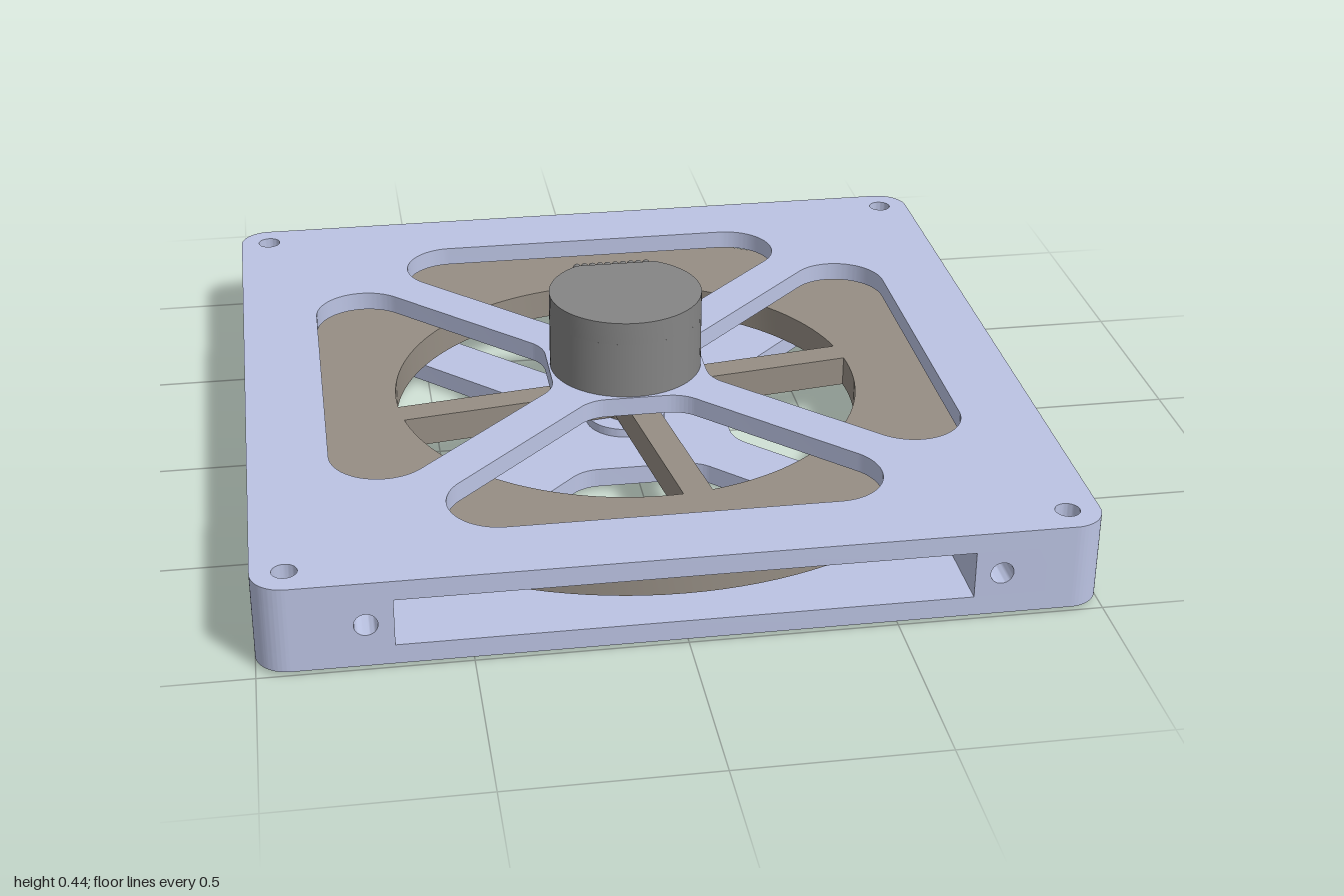
import * as THREE from 'three';
import { toCreasedNormals } from 'three/addons/utils/BufferGeometryUtils.js';

const paint = (color) => new THREE.MeshStandardMaterial({ color });
const housingMat = paint(0xbcc4e4);
const wheelMat = paint(0x968e84);
const motorMat = paint(0x858585);
const darkMat = paint(0x5c5c60);

const PLATE = 0.05, SLOT_LOW = 0.06, SLOT_HIGH = 0.18, BASE = 0.01;

function add(parent, name, geometry, material) {
  const mesh = new THREE.Mesh(geometry, material);
  mesh.name = name;
  parent.add(mesh);
  return mesh;
}

// Outline with filleted corners; corners are [x, y, radius] in counter-clockwise order
function roundedPolygon(corners, Type = THREE.Shape) {
  const path = new Type();
  const n = corners.length;
  corners.forEach(([x, y, r], i) => {
    const p = new THREE.Vector2(x, y);
    const a = new THREE.Vector2(...corners[(i + n - 1) % n].slice(0, 2)).sub(p).normalize();
    const b = new THREE.Vector2(...corners[(i + 1) % n].slice(0, 2)).sub(p).normalize();
    const half = Math.acos(a.dot(b)) / 2;
    const start = p.clone().addScaledVector(a, r / Math.tan(half));
    if (i === 0) path.moveTo(start.x, start.y);
    else path.lineTo(start.x, start.y);
    if (r > 0) {
      const c = p.clone().addScaledVector(a.clone().add(b).normalize(), r / Math.sin(half));
      const end = p.clone().addScaledVector(b, r / Math.tan(half));
      path.absarc(c.x, c.y, r, Math.atan2(start.y - c.y, start.x - c.x),
        Math.atan2(end.y - c.y, end.x - c.x), false);
    }
  });
  path.closePath();
  return path;
}

function circleHole(x, y, r) {
  const path = new THREE.Path();
  path.absarc(x, y, r, 0, Math.PI * 2, true);
  return path;
}

function extrude(shape, depth) {
  return toCreasedNormals(new THREE.ExtrudeGeometry(shape,
    { depth, bevelEnabled: false, curveSegments: 24 }), 0.5);
}

// Extrude upwards from height y
const extrudeUp = (shape, y, depth) => extrude(shape, depth).rotateX(-Math.PI / 2).translate(0, y, 0);

const cylinder = (r, y0, y1) => new THREE.CylinderGeometry(r, r, y1 - y0, 48).translate(0, (y0 + y1) / 2, 0);

function ring(inner, outer, y0, y1) {
  const shape = new THREE.Shape().absarc(0, 0, outer, 0, Math.PI * 2);
  shape.holes.push(circleHole(0, 0, inner));
  return toCreasedNormals(new THREE.ExtrudeGeometry(shape,
    { depth: y1 - y0, bevelEnabled: false, curveSegments: 64 }), 0.5)
    .rotateX(-Math.PI / 2).translate(0, y0, 0);
}

// Square plate with four filleted windows, leaving a diagonal cross
function plate(y, armOffset, inner) {
  const shape = roundedPolygon([[-1, -1, 0.08], [1, -1, 0.08], [1, 1, 0.08], [-1, 1, 0.08]]);
  const window = [
    [-(inner - armOffset), inner, 0.1], [inner - armOffset, inner, 0.1],
    [0.8 - armOffset, 0.8, 0.13], [armOffset - 0.8, 0.8, 0.13],
  ];
  for (let k = 0; k < 4; k++) {
    const c = Math.round(Math.cos(k * Math.PI / 2)), s = Math.round(Math.sin(k * Math.PI / 2));
    const turned = window.map(([x, v, r]) => [x * c - v * s, x * s + v * c, r]);
    shape.holes.push(roundedPolygon(turned, THREE.Path));
    shape.holes.push(circleHole(0.92 * (c - s), 0.92 * (c + s), 0.03));
  }
  return extrudeUp(shape, y, PLATE);
}

function createHousing() {
  const housing = new THREE.Group();
  housing.name = 'housing';
  add(housing, 'bottomPlate', plate(BASE, 0.115, 0.265), housingMat);
  add(housing, 'topPlate', plate(SLOT_HIGH, 0.085, 0.205), housingMat);
  add(housing, 'bearingBoss', ring(0.05, 0.105, SLOT_LOW, 0.083), housingMat);

  // Corner posts: drilled vertically at the corner and horizontally on each side
  const h = SLOT_HIGH - SLOT_LOW;
  const corner = roundedPolygon([[0.81, 0.81, 0], [1, 0.81, 0], [1, 1, 0.08], [0.81, 1, 0]]);
  corner.holes.push(circleHole(0.92, 0.92, 0.03));
  const cornerGeo = extrudeUp(corner, SLOT_LOW, h);
  const innerGeo = new THREE.BoxGeometry(0.13, h, 0.13).translate(0.745, 0.12, -0.745);
  const side = roundedPolygon([[-0.065, -h / 2, 0], [0.065, -h / 2, 0], [0.065, h / 2, 0], [-0.065, h / 2, 0]]);
  side.holes.push(circleHole(0, 0, 0.028));
  const sideGeo = extrude(side, 0.19);
  for (let k = 0; k < 4; k++) {
    const post = new THREE.Group();
    post.name = 'cornerPost';
    post.rotation.y = k * Math.PI / 2;
    add(post, 'postCorner', cornerGeo, housingMat);
    add(post, 'postCore', innerGeo, housingMat);
    for (const s of [-1, 1]) add(post, 'postSide', sideGeo, housingMat).position.set(s * 0.745, 0.12, 0.81);
    housing.add(post);
  }
  return housing;
}

function createWheel() {
  const wheel = new THREE.Group();
  wheel.name = 'flywheel';
  add(wheel, 'rim', ring(0.61, 0.93, 0.09, 0.17), wheelMat);
  add(wheel, 'hub', cylinder(0.055, 0.083, 0.171), wheelMat);
  for (let k = 0; k < 4; k++) {
    const spoke = add(wheel, 'spoke', new THREE.BoxGeometry(0.6, 0.08, 0.075).translate(0.32, 0.13, 0), wheelMat);
    spoke.rotation.y = k * Math.PI / 2;
  }
  wheel.rotation.y = 0.148;
  return wheel;
}

function createMotor() {
  const motor = new THREE.Group();
  motor.name = 'motor';
  add(motor, 'motorBody', cylinder(0.2, 0.23, 0.38), motorMat);
  // Upper body with a flat on the back where the cable leaves
  const a = Math.asin(0.17 / 0.2);
  const cap = new THREE.Shape().absarc(0, 0, 0.2, Math.PI - a, Math.PI * 2 + a);
  cap.closePath();
  add(motor, 'motorCap', extrudeUp(cap, 0.38, 0.06), motorMat);
  const wire = new THREE.CylinderGeometry(0.0105, 0.0105, 0.09, 12).rotateX(Math.PI / 2);
  for (let i = 0; i < 10; i++) add(motor, 'cableWire', wire, motorMat).position.set((i - 4.5) * 0.021, 0.396, -0.212);
  add(motor, 'shaft', cylinder(0.038, 0.02, 0.235), motorMat);
  return motor;
}

export function createModel() {
  const model = new THREE.Group();
  model.name = 'reactionWheelModule';
  model.add(createHousing(), createWheel(), createMotor());

  // Bearing set into the underside
  const bearing = new THREE.Group();
  bearing.name = 'bearing';
  add(bearing, 'bearingFlange', ring(0.07, 0.09, 0, 0.012), darkMat);
  add(bearing, 'bearingSeal', ring(0.05, 0.072, 0.005, 0.012), motorMat);
  add(bearing, 'bearingInnerRace', ring(0.025, 0.052, 0, 0.012), darkMat);
  model.add(bearing);
  return model;
}
